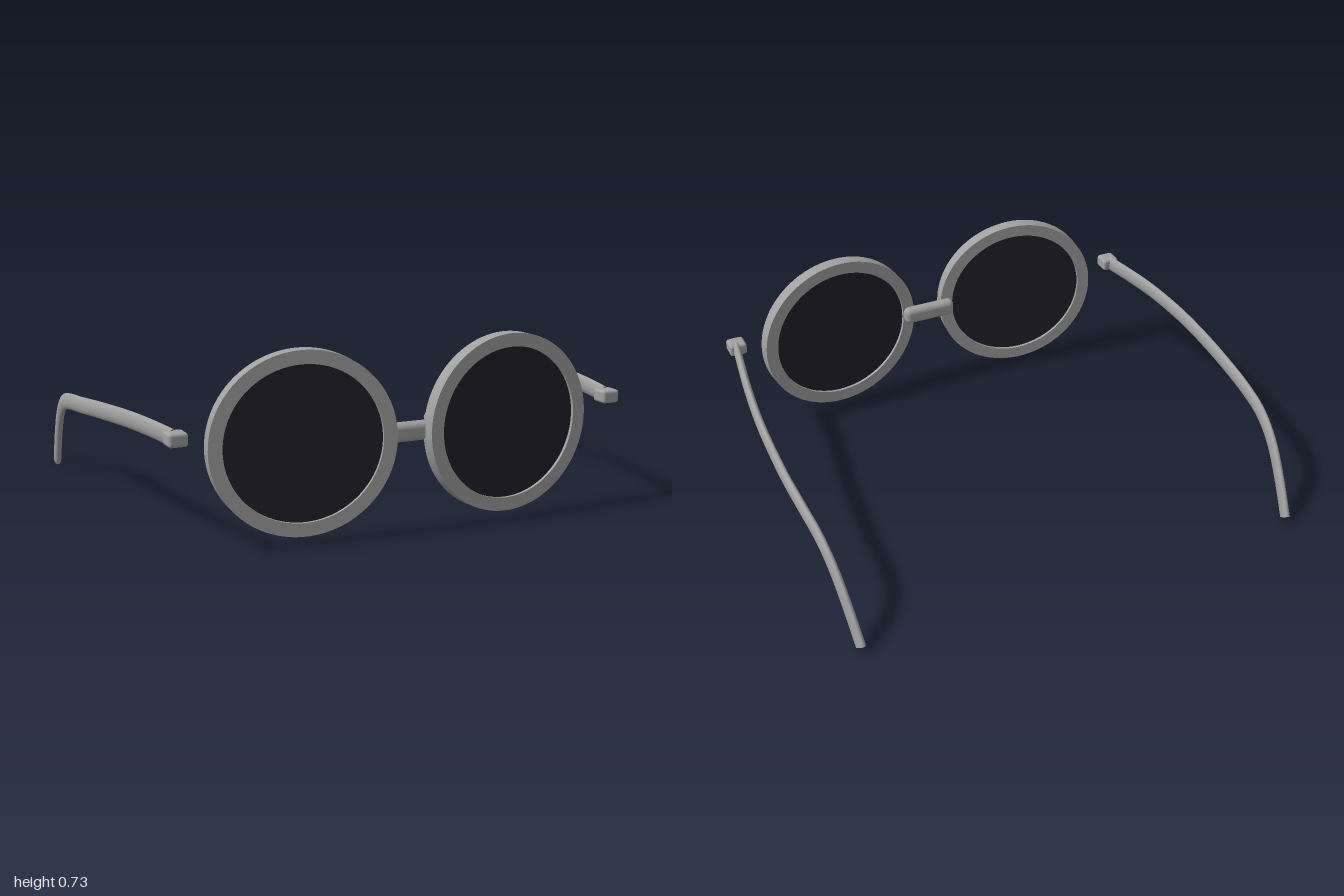
import * as THREE from 'three';
import { toCreasedNormals } from 'three/addons/utils/BufferGeometryUtils.js';
import { RoundedBoxGeometry } from 'three/addons/geometries/RoundedBoxGeometry.js';

const frameGrey = new THREE.MeshStandardMaterial({ color: 0xa0a0a0 });
frameGrey.name = 'frameGrey';
const lensDark = new THREE.MeshStandardMaterial({ color: 0x21202b });
lensDark.name = 'lensDark';

function addMesh(parent, name, geometry, material, x = 0, y = 0, z = 0) {
  const mesh = new THREE.Mesh(geometry, material);
  mesh.name = name;
  mesh.position.set(x, y, z);
  parent.add(mesh);
  return mesh;
}

// Slightly wide ring with a flat front and back
function rimGeometry(depth) {
  const shape = new THREE.Shape().absellipse(0, 0, 0.359, 0.346, 0, Math.PI * 2);
  shape.holes.push(new THREE.Path().absellipse(0, 0, 0.305, 0.294, 0, Math.PI * 2, true));
  const geometry = new THREE.ExtrudeGeometry(shape, { depth, bevelEnabled: false, curveSegments: 64 });
  geometry.translate(0, 0, -depth / 2);
  return toCreasedNormals(geometry, 0.6);
}

// Sweeps an upright oval along a curve and caps both ends
function sweepOval(curve, halfWidth, halfHeight, steps = 48, sides = 20) {
  const positions = [], index = [];
  const up = new THREE.Vector3(0, 1, 0);
  const addRing = (t) => {
    const centre = curve.getPointAt(t);
    const tangent = curve.getTangentAt(t);
    const side = new THREE.Vector3().crossVectors(up, tangent).normalize();
    const rise = new THREE.Vector3().crossVectors(tangent, side);
    for (let j = 0; j < sides; j++) {
      const a = (j / sides) * Math.PI * 2;
      const p = centre.clone()
        .addScaledVector(side, Math.cos(a) * halfWidth)
        .addScaledVector(rise, Math.sin(a) * halfHeight);
      positions.push(p.x, p.y, p.z);
    }
  };
  for (let i = 0; i <= steps; i++) addRing(i / steps);
  for (let i = 0; i < steps; i++) {
    for (let j = 0; j < sides; j++) {
      const k = (j + 1) % sides;
      const a = i * sides + j, b = i * sides + k;
      index.push(a, b, b + sides, a, b + sides, a + sides);
    }
  }
  // Caps have their own corners so their edges stay sharp
  for (const end of [0, 1]) {
    const base = positions.length / 3;
    addRing(end);
    for (let j = 1; j < sides - 1; j++) {
      if (end) index.push(base, base + j, base + j + 1);
      else index.push(base, base + j + 1, base + j);
    }
  }
  const geometry = new THREE.BufferGeometry();
  geometry.setAttribute('position', new THREE.Float32BufferAttribute(positions, 3));
  geometry.setIndex(index);
  geometry.computeVertexNormals();
  return geometry;
}

// Temple arm path for the left side, hinge to ear tip
const armPath = [
  [0.902, 0.453, 0.72], [0.925, 0.457, 0.58], [0.952, 0.456, 0.4],
  [0.975, 0.442, 0.18], [0.983, 0.424, 0], [0.984, 0.402, -0.18],
  [0.977, 0.379, -0.36], [0.966, 0.347, -0.5], [0.954, 0.28, -0.61],
  [0.94, 0.165, -0.71], [0.926, 0.03, -0.8],
];

export function createModel() {
  const model = new THREE.Group();
  model.name = 'roundSunglasses';

  for (const [label, s] of [['left', 1], ['right', -1]]) {
    // Rim and lens, angled slightly back at the outer edge
    const eye = new THREE.Group();
    eye.name = label + 'Eyepiece';
    eye.position.set(0.425 * s, 0.398, 0.762);
    eye.rotation.y = 0.102 * s;
    addMesh(eye, label + 'Rim', rimGeometry(0.055), frameGrey);
    const lens = new THREE.CylinderGeometry(1, 1, 0.03, 96);
    lens.rotateX(Math.PI / 2);
    lens.scale(0.309, 0.298, 1);
    addMesh(eye, label + 'Lens', lens, lensDark);
    model.add(eye);

    // Hinge block and curved arm
    addMesh(model, label + 'Hinge', new RoundedBoxGeometry(0.074, 0.052, 0.075, 3, 0.012),
      frameGrey, 0.898 * s, 0.454, 0.736);
    const curve = new THREE.CatmullRomCurve3(
      armPath.map(([x, y, z]) => new THREE.Vector3(x * s, y, z)), false, 'centripetal');
    addMesh(model, label + 'Arm', sweepOval(curve, 0.016, 0.034), frameGrey);
  }

  // Bridge joining the rims
  addMesh(model, 'bridge', new RoundedBoxGeometry(0.235, 0.075, 0.053, 5, 0.025),
    frameGrey, 0, 0.398, 0.757);

  return model;
}
